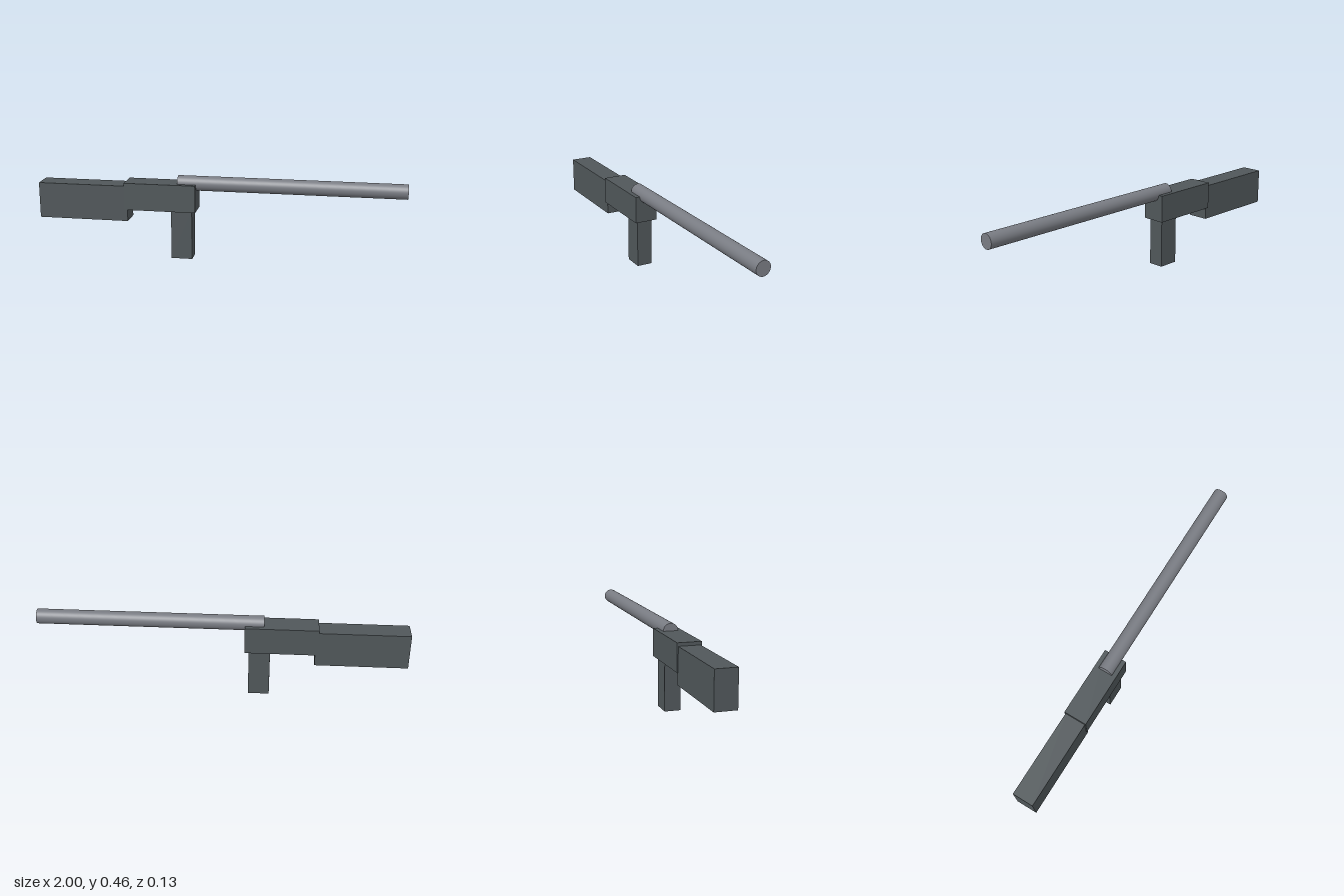
import * as THREE from 'three';

export function createModel() {
  const model = new THREE.Group();
  const darkSteel = new THREE.MeshStandardMaterial({ color: 0x50575a });
  darkSteel.name = 'darkSteel';
  const barrelGrey = new THREE.MeshStandardMaterial({ color: 0x797c83 });
  barrelGrey.name = 'barrelGrey';

  // Box given by its x range, y range and full depth
  const block = (name, x0, x1, y0, y1, depth) => {
    const mesh = new THREE.Mesh(new THREE.BoxGeometry(x1 - x0, y1 - y0, depth), darkSteel);
    mesh.position.set((x0 + x1) / 2, (y0 + y1) / 2, 0);
    mesh.name = name;
    model.add(mesh);
  };

  block('stock', -1, -0.5, 0.205, 0.402, 0.116);
  block('receiver', -0.516, -0.123, 0.27, 0.42, 0.128);
  block('grip', -0.26, -0.145, 0, 0.275, 0.087);

  // Long barrel, half sunk into the receiver top
  const x0 = -0.225, x1 = 1;
  const barrel = new THREE.Mesh(new THREE.CylinderGeometry(0.04, 0.04, x1 - x0, 48), barrelGrey);
  barrel.rotation.z = -Math.PI / 2;
  barrel.position.set((x0 + x1) / 2, 0.421, 0);
  barrel.name = 'barrel';
  model.add(barrel);

  return model;
}
